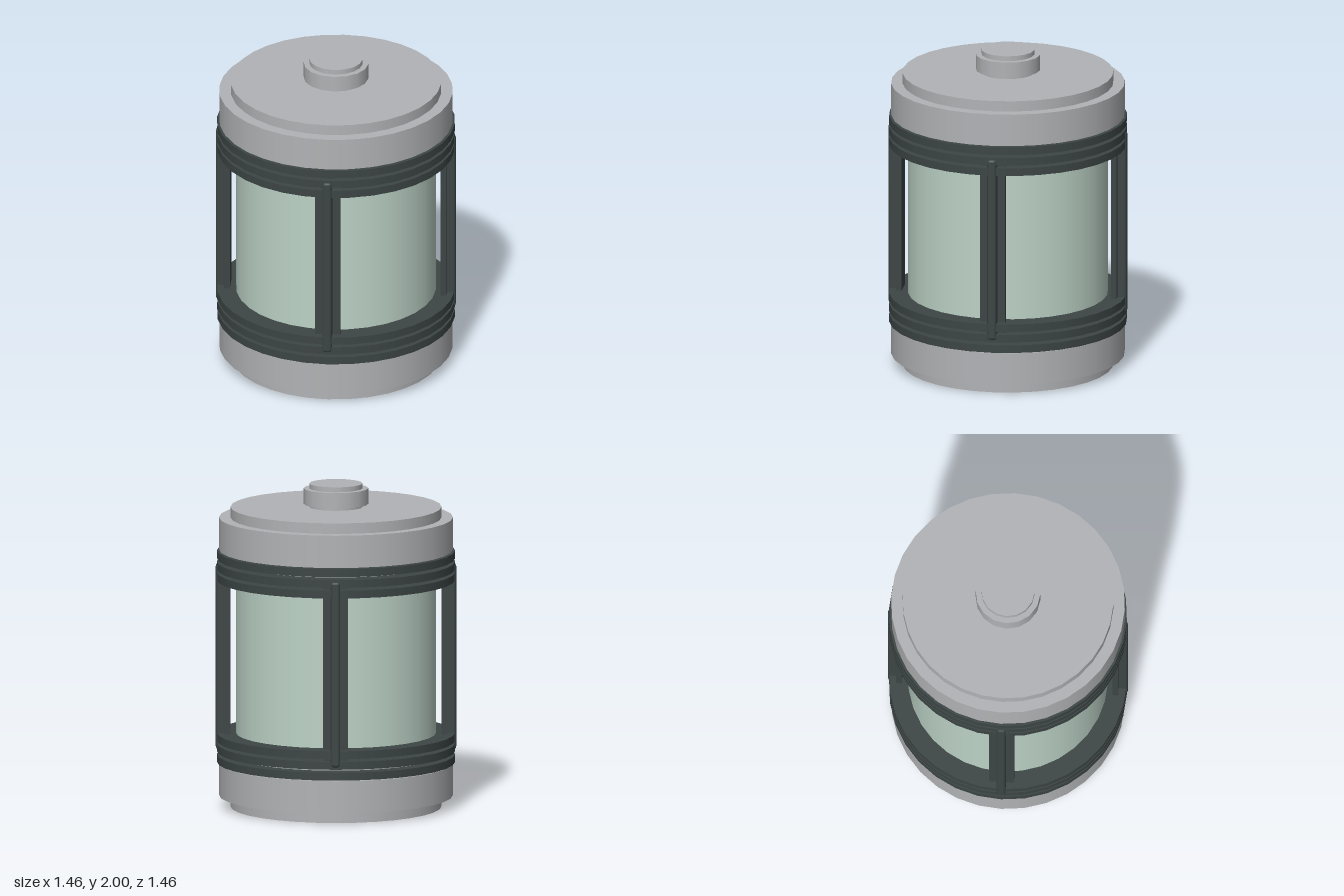
import * as THREE from 'three';
import { RoundedBoxGeometry } from 'three/addons/geometries/RoundedBoxGeometry.js';

export function createModel() {
  const model = new THREE.Group();
  model.name = 'canister';
  const mat = (name, color) => {
    const m = new THREE.MeshStandardMaterial({ color });
    m.name = name;
    return m;
  };
  const metal = mat('grey metal', 0xb2b3b6);
  const frame = mat('dark frame', 0x3d4545);
  const glass = mat('pale green glass', 0xbdd3c7);

  // Upright disc between two heights
  const disc = (name, r, y0, y1, material, sides = 32) => {
    const mesh = new THREE.Mesh(new THREE.CylinderGeometry(r, r, y1 - y0, sides), material);
    mesh.position.y = (y0 + y1) / 2;
    mesh.name = name;
    model.add(mesh);
  };

  // Glass body
  disc('glassBody', 0.612, 0.3, 1.55, glass);

  // Bottom cap
  disc('bottomFoot', 0.645, 0, 0.1, metal);
  disc('bottomCap', 0.715, 0.07, 0.27, metal);
  disc('bottomNeck', 0.645, 0.25, 0.34, metal);

  // Top cap
  disc('topNeck', 0.645, 1.52, 1.6, metal);
  disc('topCap', 0.715, 1.59, 1.79, metal);
  disc('topPlate', 0.645, 1.77, 1.855, metal);

  // Knob
  disc('knobCore', 0.163, 1.84, 2, metal, 16);
  disc('knobCollar', 0.198, 1.873, 1.97, metal, 16);

  // Three frame rings at each end
  for (const y of [0.3, 0.367, 0.433, 1.427, 1.493, 1.56]) {
    disc('frameRing', 0.728, y - 0.024, y + 0.024, frame);
  }

  // Four diagonal posts, each a flat strip with a rounded outer rib
  const stripGeo = new THREE.BoxGeometry(0.154, 1.08, 0.035);
  const ribGeo = new RoundedBoxGeometry(0.058, 1.15, 0.08, 2, 0.018);
  for (let i = 0; i < 4; i++) {
    const post = new THREE.Group();
    post.name = 'post';
    const strip = new THREE.Mesh(stripGeo, frame);
    strip.name = 'postStrip';
    strip.position.set(0, 0.93, 0.6625);
    const rib = new THREE.Mesh(ribGeo, frame);
    rib.name = 'postRib';
    rib.position.set(0, 0.93, 0.695);
    post.add(strip, rib);
    post.rotation.y = Math.PI / 4 + (i * Math.PI) / 2;
    model.add(post);
  }
  return model;
}
